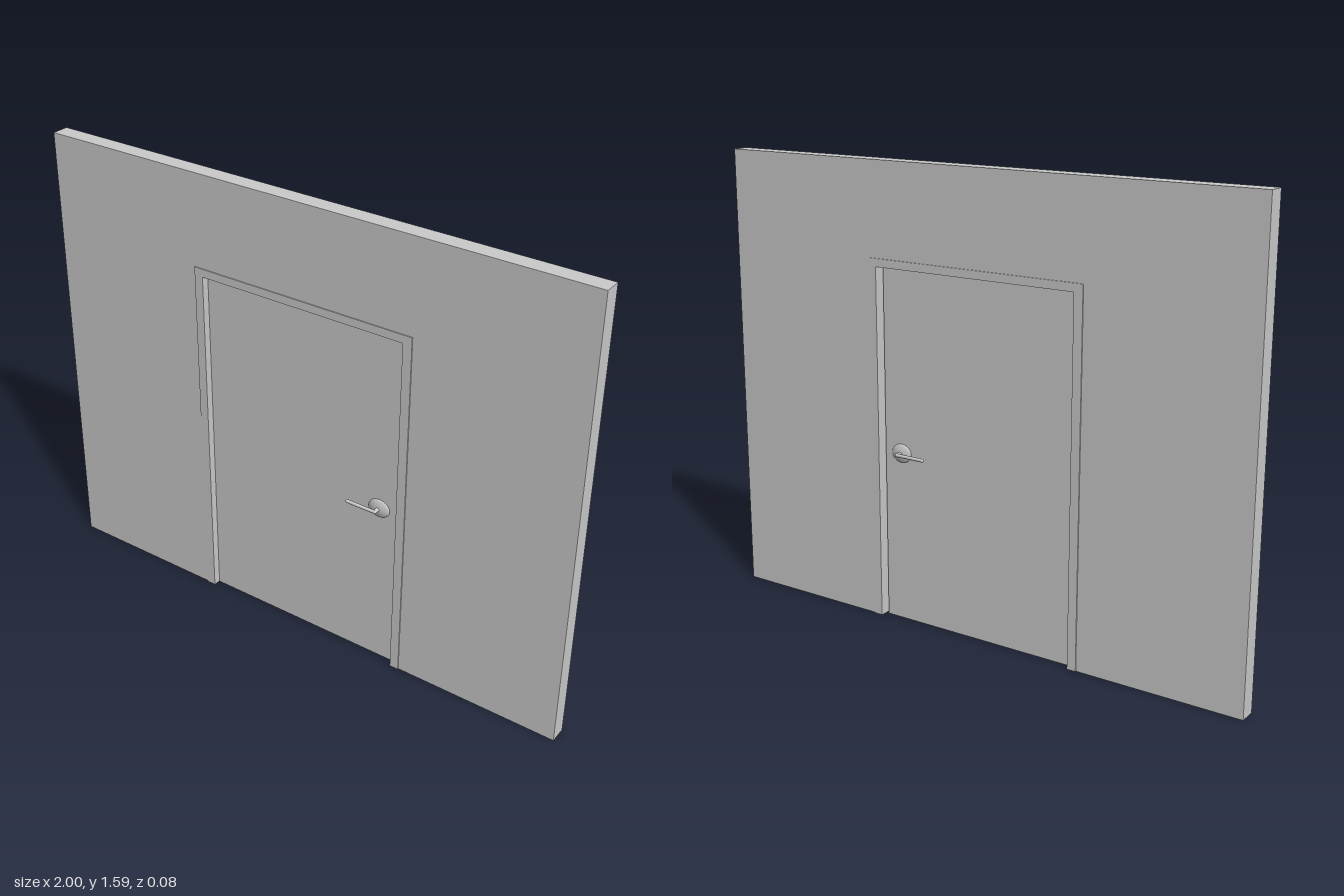
import * as THREE from 'three';

const material = new THREE.MeshStandardMaterial({ color: 0xcccccc });

function part(name, geometry) {
  const mesh = new THREE.Mesh(geometry, material);
  mesh.name = name;
  return mesh;
}

// Upside-down U standing on the ground, extruded evenly about z = 0
function archway(outerX, outerY, innerX, innerY, depth) {
  const shape = new THREE.Shape([
    [-outerX, 0], [-innerX, 0], [-innerX, innerY], [innerX, innerY],
    [innerX, 0], [outerX, 0], [outerX, outerY], [-outerX, outerY],
  ].map(([x, y]) => new THREE.Vector2(x, y)));
  return new THREE.ExtrudeGeometry(shape, { depth, bevelEnabled: false }).translate(0, 0, -depth / 2);
}

// Lever handle with its origin on the door face, pointing out along +z;
// dir is the side the lever reaches towards
function makeHandle(name, dir) {
  const handle = new THREE.Group();
  handle.name = name;

  // Domed oval plate
  const profile = [[0.04, 0], [0.039, 0.003], [0.033, 0.006], [0.022, 0.009], [0.011, 0.011], [0, 0.0115]]
    .map(([r, h]) => new THREE.Vector2(r, h));
  const plate = part('handlePlate', new THREE.LatheGeometry(profile, 32).rotateX(Math.PI / 2));
  plate.scale.y = 0.82;
  handle.add(plate);

  // Spindle
  const spindle = part('handleSpindle', new THREE.CylinderGeometry(0.007, 0.007, 0.028, 16).rotateX(Math.PI / 2));
  spindle.position.z = 0.014;
  handle.add(spindle);

  // Lever bar with a rounded tip at each end
  const lever = part('handleLever', new THREE.CapsuleGeometry(0.006, 0.107, 6, 16).rotateZ(Math.PI / 2));
  lever.position.set(dir * 0.0525, 0, 0.028);
  handle.add(lever);
  return handle;
}

export function createModel() {
  const model = new THREE.Group();
  model.name = 'doorInWall';

  // Wall with the doorway, and the slightly proud frame lining it
  model.add(part('wall', archway(1, 1.593, 0.395, 1.255, 0.06)));
  model.add(part('doorFrame', archway(0.413, 1.27, 0.381, 1.242, 0.067)));

  // Thin door leaf, with a narrow gap on the latch side
  const left = -0.38, right = 0.37, height = 1.24, thickness = 0.016;
  const leaf = part('doorLeaf', new THREE.BoxGeometry(right - left, height, thickness));
  leaf.position.set((left + right) / 2, height / 2, 0);
  model.add(leaf);

  // Handles on both faces, levers reaching towards the hinges
  const front = makeHandle('frontHandle', -1);
  front.position.set(0.302, 0.605, thickness / 2);
  const back = makeHandle('backHandle', 1);
  back.position.set(0.302, 0.605, -thickness / 2);
  back.rotation.y = Math.PI;
  model.add(front, back);

  return model;
}
